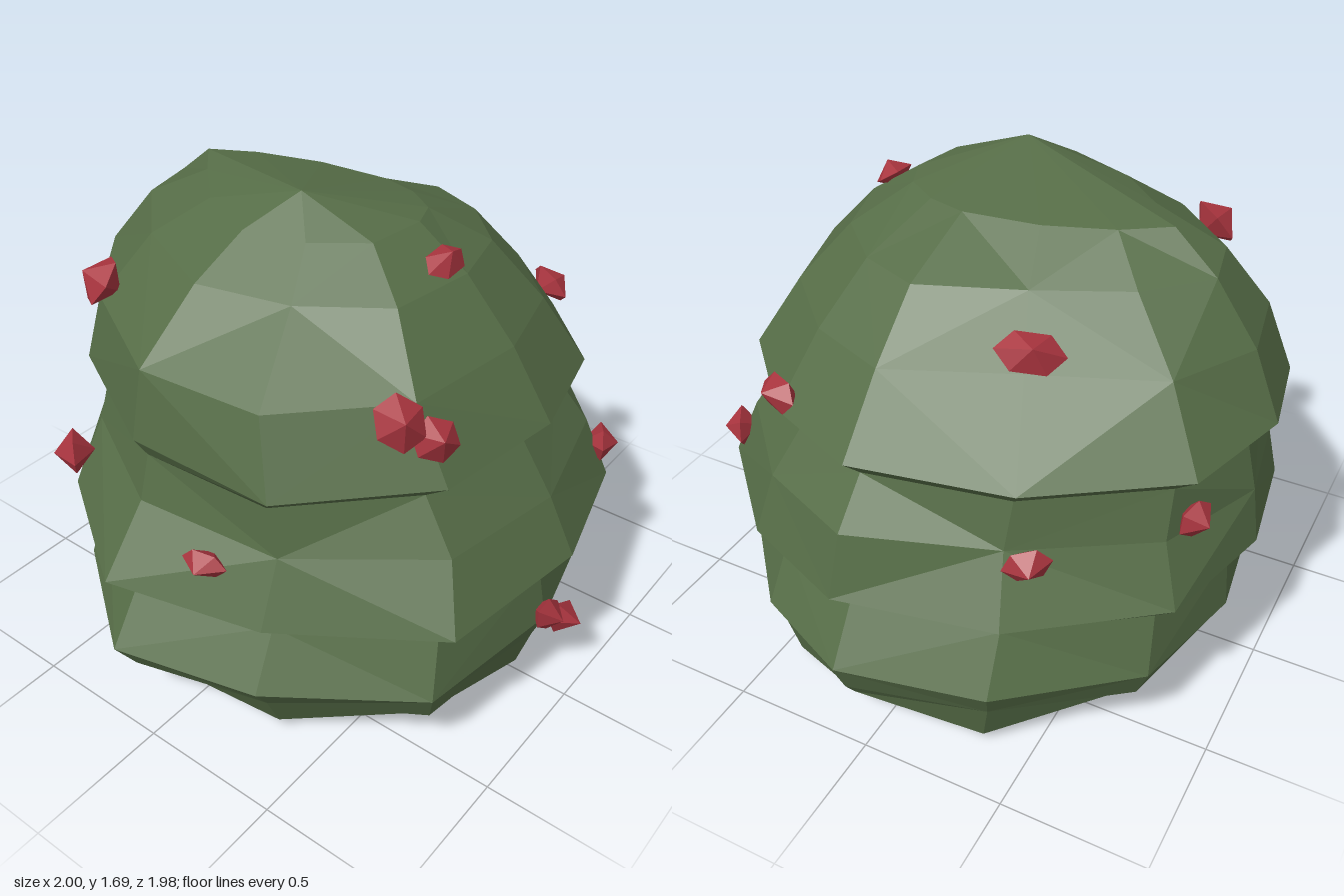
import * as THREE from 'three';

const leaf = new THREE.MeshStandardMaterial({ color: 0x566d47, flatShading: true });
leaf.name = 'leaf green';
const berryRed = new THREE.MeshStandardMaterial({ color: 0xa8343e, flatShading: true });
berryRed.name = 'berry red';

// Footprint seen from above, starting at the front and going round by the left side
const OUTLINE = [
  [0, 0.96], [0.5, 0.83], [0.84, 0.5], [1, 0.11], [0.89, -0.43], [0.56, -0.87],
  [0.13, -0.99], [-0.27, -0.93], [-0.7, -0.62], [-1, -0.16], [-0.87, 0.38], [-0.55, 0.87],
];

// Each level: height, sag of the sides, lift of every other corner, then extents at -x, +x, +z and -z
const LEVELS = [
  [0.04, 0.00, 0.08, 0.83, 0.91, 0.80, 0.78],
  [0.20, 0.00, -0.02, 0.92, 0.95, 0.85, 0.86],
  [0.30, 0.00, 0, 1.00, 1.00, 0.89, 0.91],
  [0.50, 0.00, 0, 0.87, 0.88, 0.85, 0.89],
  [0.61, 0.03, 0, 0.99, 0.97, 0.96, 0.98],
  [0.80, 0.00, 0, 0.81, 0.91, 0.86, 0.95],
  [0.99, 0.03, 0, 0.77, 0.79, 0.73, 0.90],
  [1.07, 0.04, 0, 0.81, 0.86, 0.83, 0.99],
  [1.29, 0.02, 0, 0.77, 0.68, 0.68, 0.89],
  [1.48, 0.01, 0, 0.54, 0.50, 0.50, 0.74],
  [1.60, 0.01, 0, 0.36, 0.22, 0.32, 0.50],
];

// Dents and bulges: 'level,corner' to a radial scale
const BULGES = {
  '5,4': 0.92, '5,5': 0.95, '5,10': 1.08,
  '6,10': 1.12, '7,10': 1.15, '8,10': 1.1,
  '8,4': 0.84, '8,5': 0.93, '9,4': 0.84, '9,5': 0.86, '10,6': 1.17,
};

function makeBush() {
  const pos = [], idx = [];
  const n = OUTLINE.length;
  LEVELS.forEach(([y, sag, lift, left, right, front, back], level) => {
    OUTLINE.forEach(([x, z], i) => {
      const s = BULGES[`${level},${i}`] ?? 1;
      pos.push(
        s * x * (x > 0 ? right : left),
        y - sag * Math.abs(x) + (i % 2) * lift,
        s * z * (z > 0 ? front / 0.96 : back / 0.99),
      );
    });
  });
  const bottom = pos.length / 3, top = bottom + 1;
  pos.push(0.05, 0, 0, -0.2, 1.69, 0.02);
  const last = (LEVELS.length - 1) * n;
  for (let i = 0; i < n; i++) {
    const j = (i + 1) % n;
    idx.push(bottom, j, i, last + i, last + j, top);
    for (let k = 0; k < last; k += n) {
      const a = k + i, b = k + j, c = b + n, d = a + n;
      // Alternate the diagonal for an irregular faceted surface
      if ((i + k / n) % 2) idx.push(a, b, c, a, c, d);
      else idx.push(a, b, d, b, c, d);
    }
  }
  const geo = new THREE.BufferGeometry();
  geo.setAttribute('position', new THREE.Float32BufferAttribute(pos, 3));
  geo.setIndex(idx);
  geo.computeVertexNormals();
  return geo;
}

// Berries: x, y, z, half width, half height, depth, twist
const BERRIES = [
  [-0.05, 1.525, 0.45, 0.09, 0.055, 0.05, 0.15],
  [-0.51, 1.26, 0.62, 0.08, 0.09, 0.07, 0.5],
  [-0.43, 1.19, 0.69, 0.08, 0.07, 0.07, -0.4],
  [0.73, 1.11, 0.41, 0.1, 0.06, 0.06, 0.1],
  [-0.86, 0.74, 0.16, 0.08, 0.045, 0.06, 0],
  [0.49, 0.71, 0.79, 0.085, 0.065, 0.06, -0.2],
  [0.00, 0.32, 0.90, 0.09, 0.06, 0.06, -0.7],
  [0.07, 0.27, 0.92, 0.09, 0.055, 0.07, -0.4],
  [0.50, 1.345, -0.34, 0.11, 0.07, 0.06, -0.2],
  [0.75, 0.78, -0.46, 0.08, 0.06, 0.06, 0.2],
  [0.40, 0.85, -0.85, 0.07, 0.06, 0.06, 0.4],
  [-0.55, 1.35, -0.53, 0.10, 0.09, 0.07, 0.3],
  [-0.69, 0.72, -0.61, 0.09, 0.075, 0.07, 0],
];

export function createModel() {
  const model = new THREE.Group();

  const bush = new THREE.Mesh(makeBush(), leaf);
  bush.name = 'bush';
  model.add(bush);

  // Six-sided gem shape with one point facing outward along +z
  const gem = new THREE.SphereGeometry(1, 6, 2).rotateX(Math.PI / 2);
  const berries = new THREE.Group();
  berries.name = 'berries';
  for (const [x, y, z, w, h, depth, twist] of BERRIES) {
    const berry = new THREE.Mesh(gem, berryRed);
    berry.name = 'berry';
    berry.position.set(x, y, z);
    berry.lookAt(2 * x, y + Math.max(0, y - 0.8), 2 * z);
    berry.rotateZ(twist);
    berry.scale.set(w, h, depth);
    berries.add(berry);
  }
  model.add(berries);
  return model;
}
